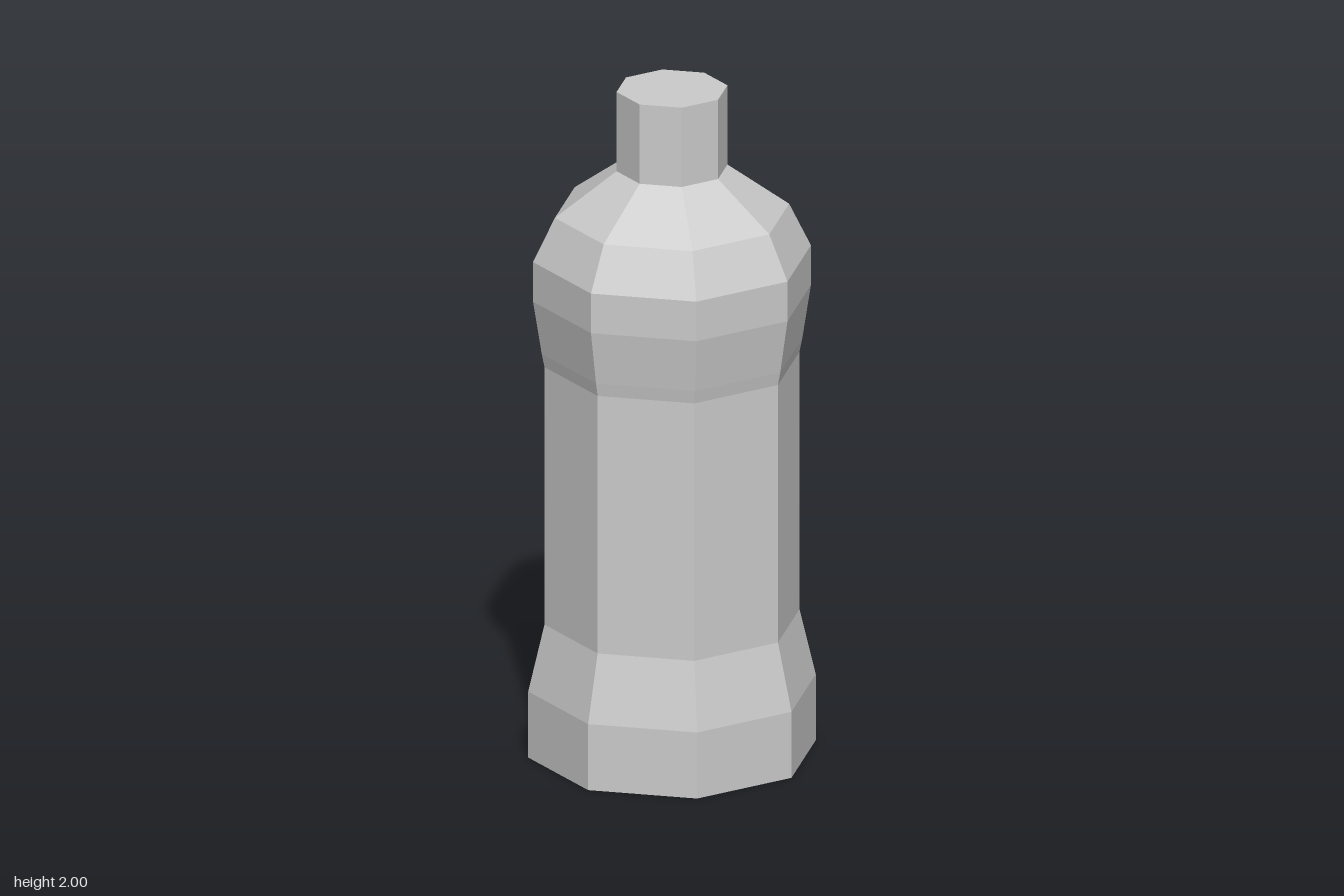
import * as THREE from 'three';

const SIDES = 8;
const NECK_RADIUS = 0.16;
const NECK_BASE = 1.76;

// Faceted solid of revolution from [radius, height] pairs, listed bottom to top
function lathePart(name, profile, material) {
  const points = profile.map(([r, y]) => new THREE.Vector2(r, y));
  const mesh = new THREE.Mesh(new THREE.LatheGeometry(points, SIDES), material);
  mesh.name = name;
  return mesh;
}

export function createModel() {
  const group = new THREE.Group();
  group.name = 'bottle';
  const material = new THREE.MeshStandardMaterial({ color: 0xcccccc, flatShading: true });

  // Flared foot, straight waist, bulging shoulder
  group.add(lathePart('body', [
    [0, 0],
    [0.415, 0],
    [0.415, 0.2],
    [0.368, 0.4],
    [0.368, 1.18],
    [0.376, 1.22],
    [0.401, 1.38],
    [0.401, 1.5],
    [0.338, 1.63],
    [NECK_RADIUS, NECK_BASE],
  ], material));

  // Straight neck closed by a flat top
  group.add(lathePart('cap', [
    [NECK_RADIUS, NECK_BASE],
    [NECK_RADIUS, 2],
    [0, 2],
  ], material));

  return group;
}
